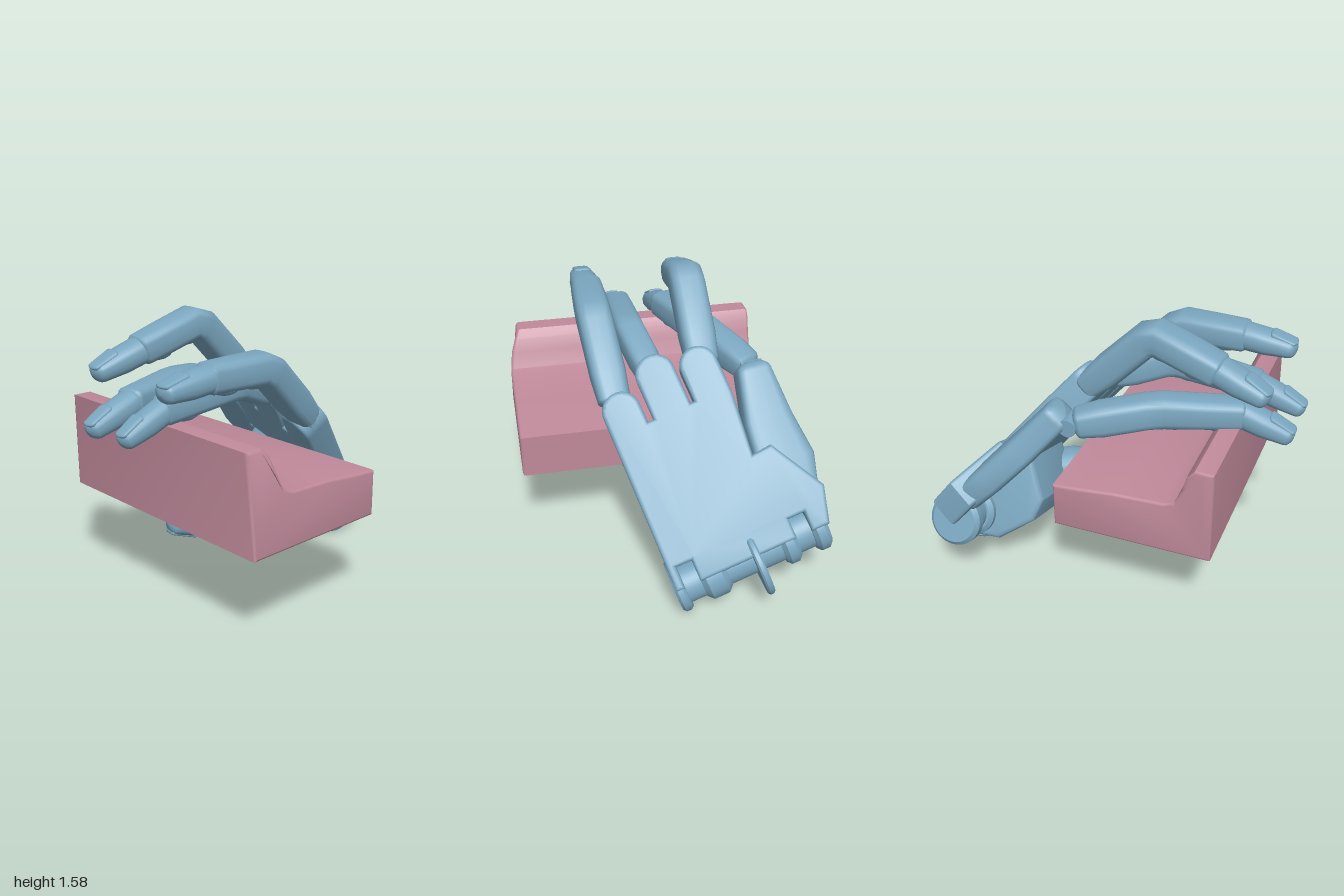
import * as THREE from 'three';
import { toCreasedNormals } from 'three/addons/utils/BufferGeometryUtils.js';

const blue = new THREE.MeshStandardMaterial({ color: 0x7ba7c0 });
const pink = new THREE.MeshStandardMaterial({ color: 0xc08a9b });
const V = (p) => new THREE.Vector3(...p);

function add(parent, name, geometry, material = blue) {
  const mesh = new THREE.Mesh(geometry, material);
  mesh.name = name;
  parent.add(mesh);
  return mesh;
}

// Loft of rounded-rectangle sections [point, width, thickness], with domed ends
function loft(sections, cap = 0.06, power = 0.6) {
  const n = 20, pos = [], idx = [], rings = [];
  const pts = sections.map((s) => V(s[0]));
  const last = pts.length - 1;
  pts.forEach((p, i) => {
    const before = p.clone().sub(pts[Math.max(i - 1, 0)]).normalize();
    const after = pts[Math.min(i + 1, last)].clone().sub(p).normalize();
    const d = before.add(after).normalize();
    const ring = (angle, sign) => rings.push({
      p: p.clone().addScaledVector(d, sign * cap * Math.sin(angle)), d,
      w: sections[i][1] / 2 * Math.cos(angle), t: sections[i][2] / 2 * Math.cos(angle),
    });
    if (i === 0) for (const a of [1.5708, 1.2, 0.8, 0.4]) ring(a, -1);
    ring(0, 1);
    if (i === last) for (const a of [0.4, 0.8, 1.2, 1.5708]) ring(a, 1);
  });
  const soft = (c) => Math.sign(c) * Math.abs(c) ** power;
  rings.forEach((r, i) => {
    const s = new THREE.Vector3(0, 0, 1).addScaledVector(r.d, -r.d.z).normalize();
    const t = r.d.clone().cross(s);
    for (let j = 0; j < n; j++) {
      const a = j / n * Math.PI * 2;
      const q = r.p.clone().addScaledVector(s, r.w * soft(Math.cos(a))).addScaledVector(t, r.t * soft(Math.sin(a)));
      pos.push(q.x, q.y, q.z);
      if (i + 1 < rings.length) {
        const k = (j + 1) % n, A = i * n, B = A + n;
        idx.push(A + j, A + k, B + k, A + j, B + k, B + j);
      }
    }
  });
  const g = new THREE.BufferGeometry();
  g.setAttribute('position', new THREE.Float32BufferAttribute(pos, 3));
  g.setIndex(idx);
  g.computeVertexNormals();
  return g;
}

// Extrusion whose bevel stays inside the given depth
function slab(shape, depth, bevel) {
  const g = new THREE.ExtrudeGeometry(shape, {
    depth: depth - 2 * bevel, bevelSize: bevel, bevelThickness: bevel,
    bevelOffset: -bevel, bevelSegments: 3, curveSegments: 10,
  });
  return g.translate(0, 0, bevel);
}
const polygon = (pts) => new THREE.Shape(pts.map((p) => new THREE.Vector2(...p)));

// Tapered fingertip with a nail; up = 1 puts the nail on top, -1 below
function fingertip(parent, name, a, b, w, t, up) {
  const A = V(a), B = V(b);
  const mid = A.clone().lerp(B, 0.5);
  add(parent, name + 'Tip', loft([
    [a, w, t], [mid.toArray(), w * 0.98, t * 0.95], [b, w * 0.8, t * 0.72],
  ], 0.04, 0.8));
  const d = B.clone().sub(A).normalize();
  const s = new THREE.Vector3(0, 0, 1).addScaledVector(d, -d.z).normalize();
  const lift = d.clone().cross(s).multiplyScalar(up);
  const n0 = A.clone().lerp(B, 0.6).addScaledVector(lift, t * 0.4);
  const n1 = B.clone().addScaledVector(lift, t * 0.28).addScaledVector(d, 0.015);
  add(parent, name + 'Nail', loft([[n0.toArray(), w * 0.6, 0.035], [n1.toArray(), w * 0.55, 0.025]], 0.02));
}

function finger(parent, name, base, knuckle, joint, tip, w, t) {
  const group = new THREE.Group();
  group.name = name;
  parent.add(group);
  const B = V(base), K = V(knuckle), J = V(joint);
  const mix = (p, q, k) => p.clone().lerp(q, k).toArray();
  add(group, name + 'Body', loft([
    [base, w * 0.9, t * 0.85], [mix(B, K, 0.3), w, t], [mix(B, K, 0.9), w, t],
    [mix(K, J, 0.1), w, t], [mix(K, J, 0.6), w * 0.97, t * 0.94], [joint, w * 0.92, t * 0.9],
  ], 0.035));
  // Soft pads on the inner side
  for (const k of [0.22, 0.72]) {
    const pad = add(group, name + 'Pad', new THREE.SphereGeometry(1, 16, 10));
    pad.position.copy(K).lerp(J, k);
    pad.position.y -= t * 0.3;
    pad.scale.set(0.09, t * 0.28, w * 0.4);
  }
  // Hinge pin in the palm knuckle
  const pin = add(group, name + 'Pin', new THREE.CylinderGeometry(0.05, 0.05, w * 0.7, 20));
  pin.rotation.x = Math.PI / 2;
  pin.position.copy(B).addScaledVector(B.clone().sub(K).normalize(), 0.04);
  fingertip(group, name, joint, tip, w * 0.86, t * 0.82, 1);
}

function buildPalm() {
  // Local axes: x across the wrist, y towards the fingers, z out of the back of the hand
  const palm = new THREE.Group();
  palm.name = 'palm';
  const f = new THREE.Vector3(-0.633, 0.719, 0.287).normalize();
  const w = f.clone().cross(new THREE.Vector3(0.77, 0.61, 0.18)).normalize();
  const basis = new THREE.Matrix4().makeBasis(w, f, w.clone().cross(f));
  palm.quaternion.setFromRotationMatrix(basis);

  // Back plate with three rounded knuckle lobes and two wrist notches
  const s = polygon([[0.84, -0.4], [0.9, -0.2], [0.73, 0.11], [0.62, 0.1], [0.66, 0.45]]);
  for (const [c, r, v] of [[0.555, 0.105, 0.66], [0.32, 0.11, 0.71], [0.072, 0.107, 0.6]]) {
    s.lineTo(c + r, 0.49);
    s.absarc(c, v, r, 0, Math.PI, false);
    if (c > 0.1) s.lineTo(c - r, 0.49);
  }
  for (const p of [[-0.05, -0.4], [0, -0.4], [0, -0.28], [0.09, -0.28], [0.09, -0.4],
    [0.65, -0.4], [0.65, -0.29], [0.74, -0.29], [0.74, -0.4]]) s.lineTo(...p);
  const plate = add(palm, 'backPlate', toCreasedNormals(slab(s, 0.18, 0.02), 0.6));
  plate.position.z = 0.68;

  // Wrist hinge lugs, inner axle and the thin pulley disc
  const barrel = (name, u0, u1, r, v = -0.38, n = 0.7) => {
    const c = Math.min(0.03, (u1 - u0) / 4);
    const profile = [[0, u0], [r - c, u0], [r, u0 + c], [r, u1 - c], [r - c, u1], [0, u1]];
    const g = new THREE.LatheGeometry(profile.map((p) => new THREE.Vector2(...p)), 40);
    const m = add(palm, name, toCreasedNormals(g, 0.5));
    m.rotation.z = -Math.PI / 2;
    m.position.set(0, v, n);
  };
  for (const [a, b] of [[-0.06, 0], [0.09, 0.24], [0.56, 0.65], [0.74, 0.83]]) barrel('wristLug', a, b, 0.15);
  barrel('wristAxle', -0.03, 0.8, 0.115);
  barrel('pulleyDisc', 0.395, 0.435, 0.2, -0.43, 0.71);

  // Heel of the hand that carries the thumb
  const toAcross = new THREE.Matrix4().makeBasis(
    new THREE.Vector3(0, 1, 0), new THREE.Vector3(0, 0, 1), new THREE.Vector3(1, 0, 0));
  const heel = slab(polygon([[-0.47, 0.57], [-0.38, 0.47], [-0.13, 0.41], [0, 0.46],
    [0.14, 0.72], [-0.38, 0.74]]), 0.5, 0.03).applyMatrix4(toAcross);
  add(palm, 'heel', toCreasedNormals(heel, 0.6)).position.x = 0.1;
  return palm;
}

function buildBlock() {
  const g = slab(polygon([[-0.72, 0.53], [0.15, 0.53], [0.15, 0.785], [0, 0.8], [-0.2, 0.82],
    [-0.46, 0.83], [-0.52, 0.85], [-0.56, 0.94], [-0.58, 1.02], [-0.62, 1.065], [-0.72, 1.065]]), 1.51, 0.015);
  g.translate(0, 0, -0.7);
  // Lip rounds in at its front end
  const p = g.attributes.position;
  for (let i = 0; i < p.count; i++) {
    const rise = Math.max(0, p.getY(i) - 0.8);
    if (p.getZ(i) > 0.7) p.setZ(i, p.getZ(i) - rise * rise * 0.9);
  }
  return toCreasedNormals(g, 0.6);
}

export function createModel() {
  const model = new THREE.Group();
  model.name = 'handHoldingBlock';
  add(model, 'block', buildBlock(), pink);

  const hand = new THREE.Group();
  hand.name = 'hand';
  model.add(hand);
  hand.add(buildPalm());

  // Index knuckle plate, emerging from under the back plate
  add(hand, 'indexPlate', loft([
    [[0.68, 0.56, -0.64], 0.22, 0.16], [[0.55, 0.7, -0.59], 0.34, 0.17],
    [[0.38, 0.88, -0.53], 0.28, 0.17], [[0.2, 1.09, -0.49], 0.2, 0.16],
  ], 0.06, 0.45));

  // Fingers: base, knuckle, joint, tip, width, thickness
  finger(hand, 'indexFinger', [0.08, 1.07, -0.49], [-0.28, 1.13, -0.32], [-0.7, 1.12, -0.17], [-0.95, 1.03, -0.15], 0.18, 0.18);
  finger(hand, 'middleFinger', [0.13, 1.15, -0.22], [-0.22, 1.5, -0.2], [-0.58, 1.38, -0.23], [-0.83, 1.29, -0.26], 0.2, 0.18);
  finger(hand, 'ringFinger', [0.08, 1.08, 0.06], [-0.23, 1.2, 0.13], [-0.71, 1.14, 0.12], [-0.95, 1.04, 0.13], 0.17, 0.17);
  finger(hand, 'littleFinger', [0.16, 0.98, 0.28], [-0.2, 1.32, 0.33], [-0.58, 1.32, 0.32], [-0.84, 1.29, 0.32], 0.2, 0.18);

  // Thumb under the block
  add(hand, 'thumbBody', loft([
    [[0.56, 0.34, -0.03], 0.25, 0.25], [[0.36, 0.385, 0.03], 0.25, 0.24], [[0.05, 0.4, 0.09], 0.19, 0.18],
    [[-0.12, 0.41, 0.12], 0.21, 0.2], [[-0.26, 0.415, 0.14], 0.23, 0.23], [[-0.31, 0.42, 0.14], 0.21, 0.2],
  ], 0.05, 0.85));
  add(hand, 'thumbBall', new THREE.SphereGeometry(0.14, 28, 18)).position.set(0.53, 0.345, 0);
  fingertip(hand, 'thumb', [-0.36, 0.445, 0.13], [-0.61, 0.47, 0.06], 0.19, 0.16, -1);
  return model;
}
